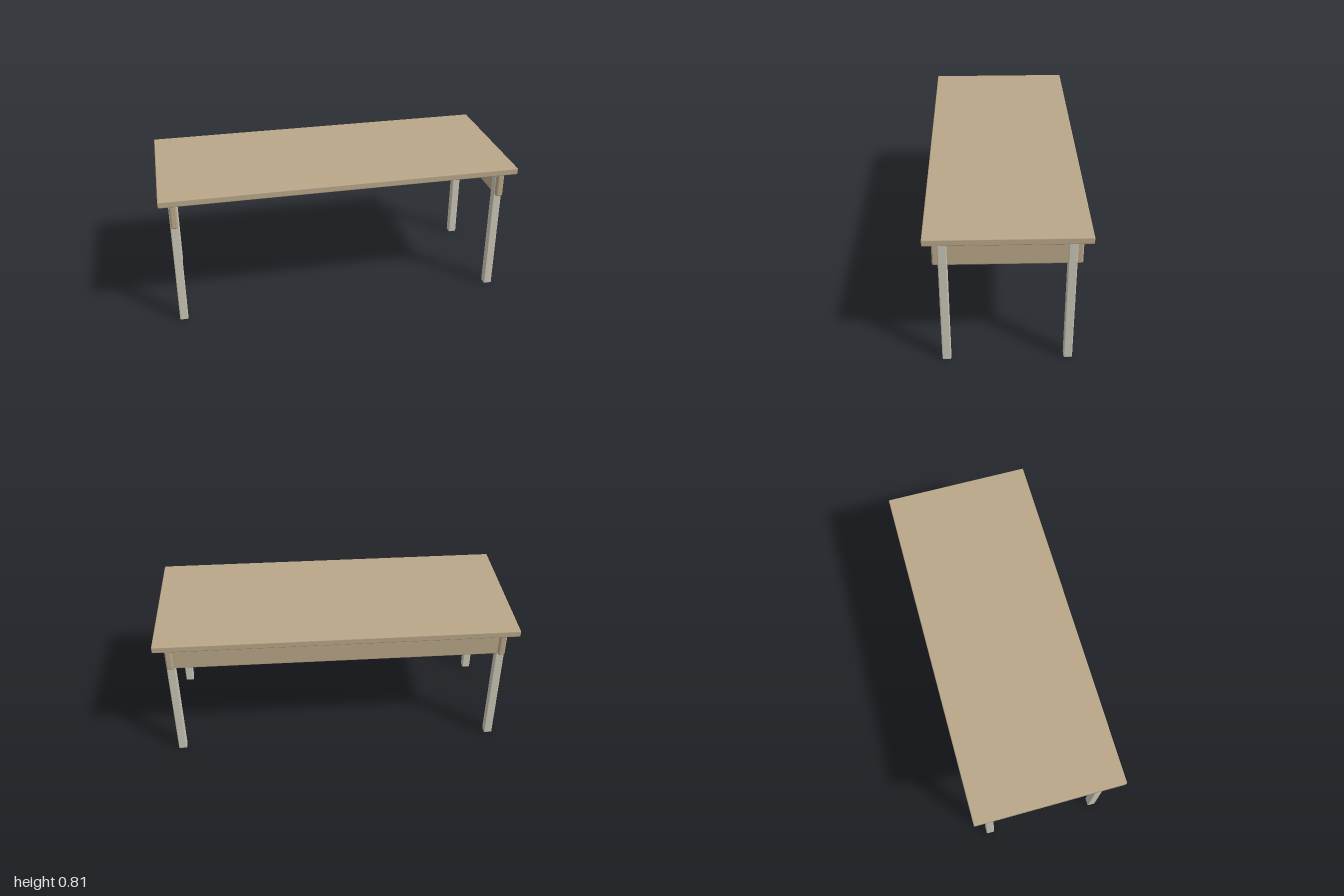
import * as THREE from 'three';
import { RoundedBoxGeometry } from 'three/addons/geometries/RoundedBoxGeometry.js';

export function createModel() {
  const table = new THREE.Group();
  table.name = 'table';

  const wood = new THREE.MeshStandardMaterial({ color: 0xb8a688 });
  wood.name = 'wood';
  const paint = new THREE.MeshStandardMaterial({ color: 0xc8c4b5 });
  paint.name = 'pale grey paint';

  // Softened board spanning the given ranges
  function board(name, material, [x0, x1], [y0, y1], [z0, z1], radius) {
    const geometry = new RoundedBoxGeometry(x1 - x0, y1 - y0, z1 - z0, 3, radius);
    const mesh = new THREE.Mesh(geometry, material);
    mesh.name = name;
    mesh.position.set((x0 + x1) / 2, (y0 + y1) / 2, (z0 + z1) / 2);
    table.add(mesh);
    return mesh;
  }

  // Top
  board('tableTop', wood, [-1, 1], [0.77, 0.808], [-0.418, 0.418], 0.006);

  // Rail along the back only; the front stays open
  board('backRail', wood, [-0.925, 0.925], [0.61, 0.77], [-0.353, -0.312], 0.008);

  for (const side of [-1, 1]) {
    const label = side > 0 ? 'left' : 'right';
    const span = (inner, outer) => (side > 0 ? [inner, outer] : [-outer, -inner]);

    // End rail, running past both legs
    board(label + 'EndRail', wood, span(0.905, 0.943), [0.615, 0.766], [-0.376, 0.376], 0.01);

    // Legs, slightly proud of the end rail
    board(label + 'FrontLeg', paint, span(0.9, 0.948), [0, 0.755], [0.3, 0.347], 0.006);
    board(label + 'BackLeg', paint, span(0.9, 0.948), [0, 0.755], [-0.347, -0.3], 0.006);
  }

  return table;
}
